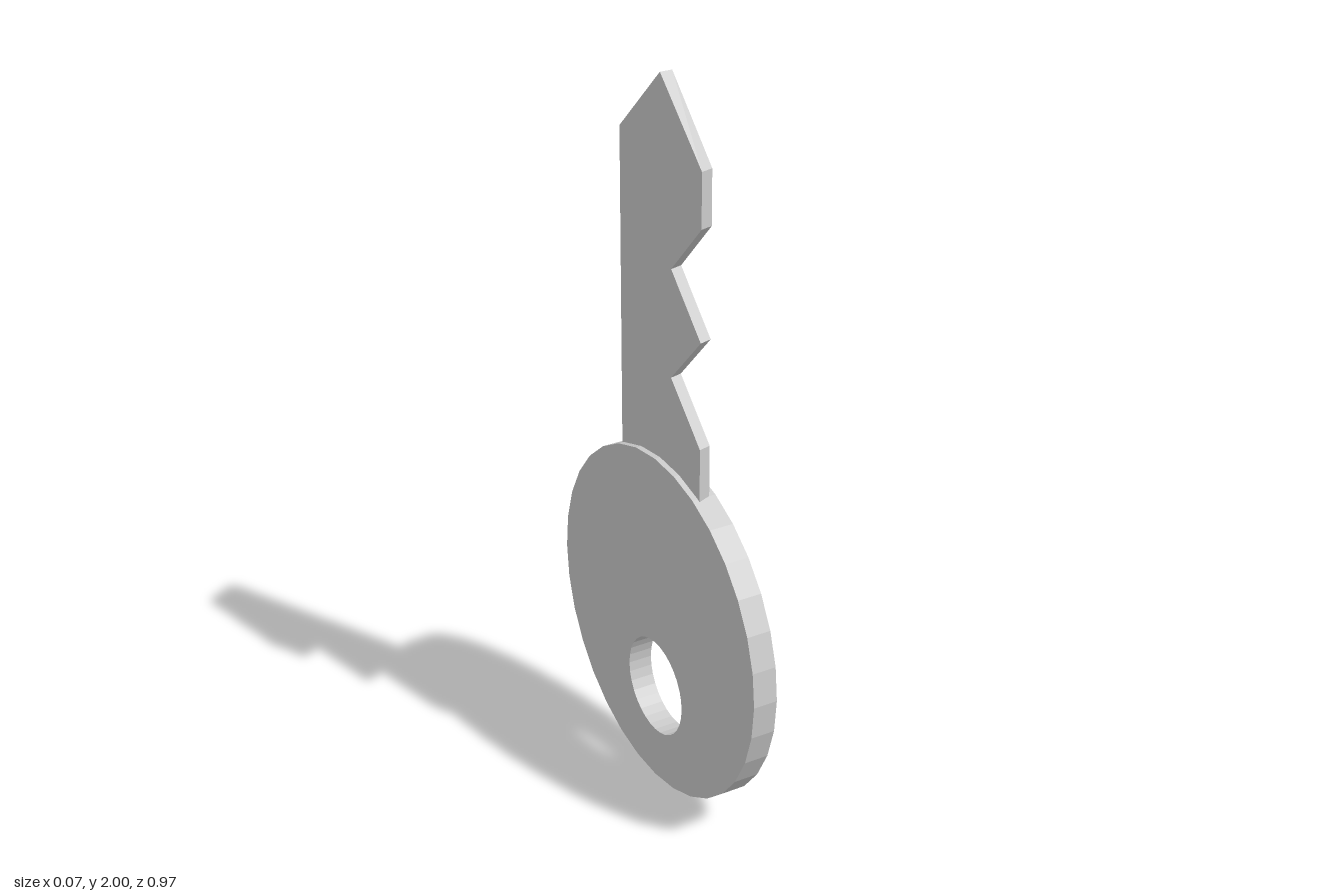
import * as THREE from 'three';

// Extrude a (z, y) outline so that its thickness lies along x, between x0 and x1
function plate(shape, x0, x1) {
  const geo = new THREE.ExtrudeGeometry(shape, { depth: x1 - x0, bevelEnabled: false, curveSegments: 16 });
  geo.rotateY(-Math.PI / 2);
  geo.translate(x1, 0, 0);
  return geo;
}

export function createModel() {
  const key = new THREE.Group();
  key.name = 'key';
  const material = new THREE.MeshStandardMaterial({ color: 0xcccccc, flatShading: true });
  const add = (name, geo) => {
    const mesh = new THREE.Mesh(geo, material);
    mesh.name = name;
    key.add(mesh);
  };

  // Round bow with an off-centre ring hole
  const bow = new THREE.Shape().absarc(0, 0.488, 0.487, 0, Math.PI * 2, false);
  bow.holes.push(new THREE.Path().absarc(0, 0.286, 0.138, 0, Math.PI * 2, true));
  add('bow', plate(bow, -0.034, 0.034));

  // Pointed blade with two V-notches along its front edge
  const outline = [
    [-0.194, 0.92], [0.195, 0.92], [0.195, 1.08],
    [0.055, 1.222], [0.195, 1.37], [0.055, 1.515], [0.195, 1.665],
    [0.195, 1.81], [0.002, 2], [-0.194, 1.81],
  ].map(([z, y]) => new THREE.Vector2(z, y));
  const blade = plate(new THREE.Shape(outline), -0.018, 0.016);

  // The cut edge leans in slightly towards the +x face
  const pos = blade.attributes.position;
  for (let i = 0; i < pos.count; i++) {
    if (pos.getX(i) > 0 && pos.getZ(i) > 0.03) pos.setZ(i, pos.getZ(i) - 0.009);
  }
  blade.computeVertexNormals();
  add('blade', blade);

  return key;
}
